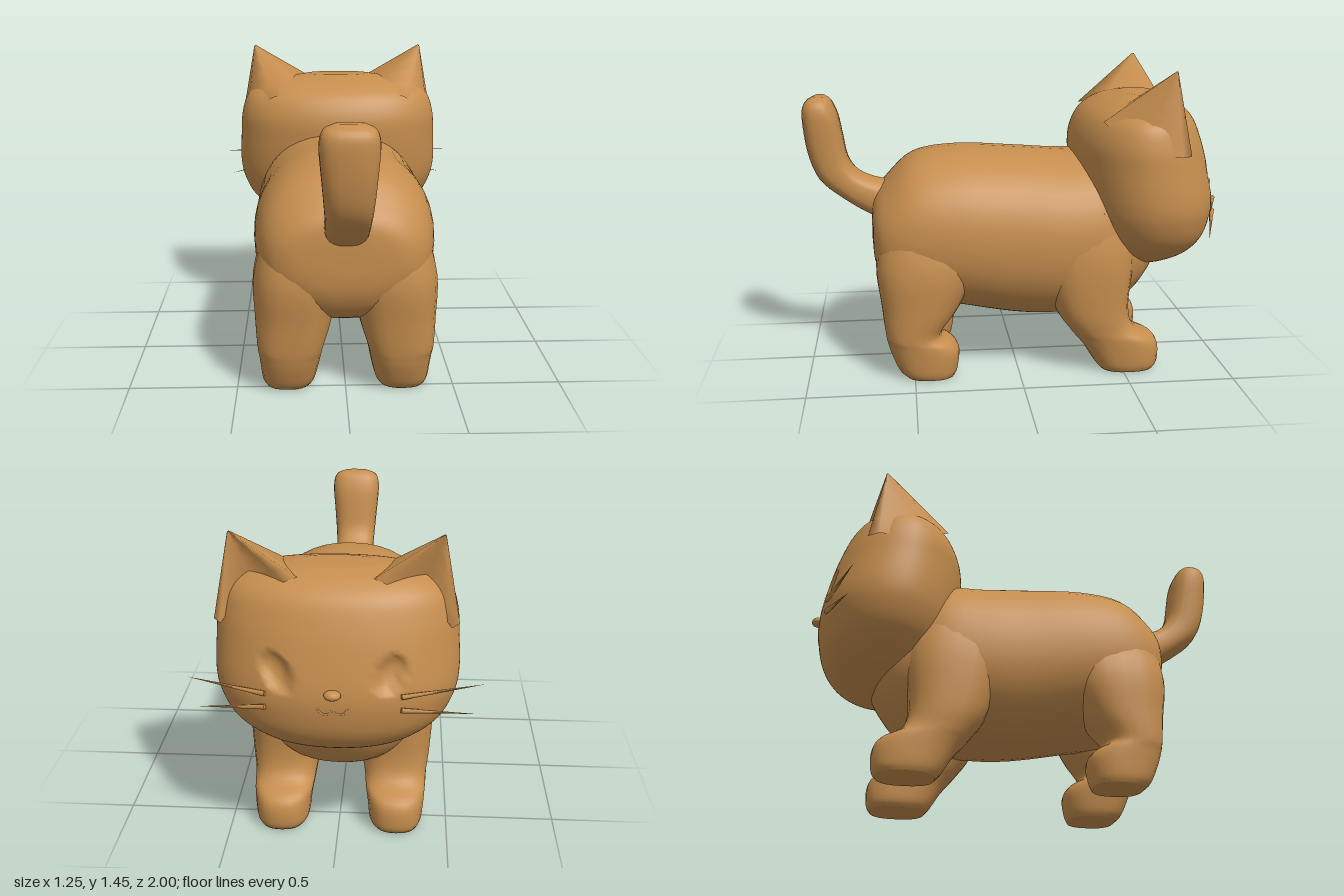
import * as THREE from 'three';

const fur = new THREE.MeshStandardMaterial({ color: 0xc68e4e });
fur.name = 'ginger fur';

// Smooth skin over oval sections [centreX, halfWidth, yA, zA, yB, zB]:
// each oval spans from point A to point B and is halfWidth wide to both sides.
function loft(sections, { sides = 32, steps = 4, power = 0.9 } = {}) {
  const curve = (f) => new THREE.CatmullRomCurve3(sections.map(f), false, 'catmullrom', 0.5);
  const ca = curve(([x, , y, z]) => new THREE.Vector3(x, y, z));
  const cb = curve(([, w, , , y, z]) => new THREE.Vector3(w, y, z));
  const bend = (v) => Math.sign(v) * Math.abs(v) ** power;
  const count = (sections.length - 1) * steps;
  const pos = [];
  const index = [];
  const ring = (t, size) => {
    const a = ca.getPoint(t), b = cb.getPoint(t);
    for (let j = 0; j < sides; j++) {
      const q = (j / sides) * Math.PI * 2;
      const s = bend(Math.sin(q)) * 0.5 * size;
      pos.push(
        a.x + Math.max(b.x, 0) * size * bend(Math.cos(q)),
        (a.y + b.y) / 2 + (b.y - a.y) * s,
        (a.z + b.z) / 2 + (b.z - a.z) * s);
    }
  };
  ring(0, 0);
  for (let i = 0; i <= count; i++) ring(i / count, 1);
  ring(1, 0);
  for (let i = 0; i < count + 2; i++) {
    for (let j = 0; j < sides; j++) {
      const k = (j + 1) % sides;
      const a = i * sides + j, b = i * sides + k, c = a + sides, d = b + sides;
      index.push(a, b, c, b, d, c);
    }
  }
  const geo = new THREE.BufferGeometry();
  geo.setAttribute('position', new THREE.Float32BufferAttribute(pos, 3));
  geo.setIndex(index);
  geo.computeVertexNormals();
  return geo;
}

// Leg sections rise from the sole: [y, back z, front z, inner x, outer x]
const leg = (rows, side) => loft(rows.map(([y, zb, zf, xi, xo]) =>
  [side * (xi + xo) / 2, (xo - xi) / 2, y, zb, y, zf]), { sides: 24, power: 0.8 });

const hindRows = [
  [0.005, 0.54, 0.31, 0.16, 0.37], [0.04, 0.575, 0.295, 0.14, 0.385],
  [0.12, 0.61, 0.285, 0.12, 0.395], [0.17, 0.625, 0.31, 0.11, 0.4],
  [0.22, 0.635, 0.37, 0.1, 0.405], [0.35, 0.65, 0.28, 0.06, 0.415],
  [0.55, 0.67, 0.2, 0.03, 0.42], [0.78, 0.62, 0.25, 0.06, 0.36]];
const frontRows = [
  [0.005, -0.4, -0.66, 0.16, 0.37], [0.04, -0.37, -0.68, 0.14, 0.385],
  [0.12, -0.32, -0.68, 0.13, 0.395], [0.17, -0.28, -0.65, 0.12, 0.4],
  [0.22, -0.24, -0.56, 0.11, 0.405], [0.33, -0.17, -0.53, 0.09, 0.42],
  [0.58, -0.1, -0.55, 0.06, 0.43], [0.8, -0.15, -0.5, 0.08, 0.39]];

function headGeometry() {
  // [y, back z, front z, half width]
  const rows = [
    [0.48, -0.62, -0.72, 0.08], [0.51, -0.5, -0.77, 0.22], [0.57, -0.42, -0.87, 0.35],
    [0.65, -0.36, -0.93, 0.45], [0.75, -0.32, -0.957, 0.505], [0.85, -0.3, -0.96, 0.525],
    [1.0, -0.285, -0.93, 0.52], [1.12, -0.29, -0.895, 0.51], [1.22, -0.34, -0.85, 0.47],
    [1.28, -0.43, -0.78, 0.36], [1.315, -0.54, -0.7, 0.16]];
  const geo = loft(rows.map(([y, zb, zf, w]) => [0, w, y, zb, y, zf]),
    { sides: 128, steps: 7, power: 0.92 });
  // Press two slanted almond eye sockets into the face
  const p = geo.attributes.position;
  for (let i = 0; i < p.count; i++) {
    if (p.getZ(i) > -0.7) continue;
    const dy = p.getY(i) - 0.93;
    const dx = Math.abs(p.getX(i)) - 0.23 - dy * 0.25;
    const d = (dx / 0.06) ** 2 + (dy / 0.08) ** 2;
    if (d < 1) p.setZ(i, p.getZ(i) + 0.04 * Math.sqrt(1 - d));
  }
  geo.computeVertexNormals();
  return geo;
}

// Ear: a rounded pyramid with a hollow front, shrinking towards its tip
function earGeometry(side) {
  const tip = new THREE.Vector3(0.445, 1.462, -0.69);
  const base = [[0.13, 1.27, -0.76], [0.2, 1.26, -0.775], [0.35, 1.22, -0.64],
    [0.48, 1.08, -0.76], [0.515, 1.08, -0.71], [0.48, 1.1, -0.52],
    [0.34, 1.22, -0.38], [0.18, 1.25, -0.48]].map((v) => new THREE.Vector3(...v));
  const n = base.length;
  const pos = [], index = [];
  for (const t of [0, 0.25, 0.5, 0.75, 0.93, 0.98, 0.985]) {
    for (const b of base) {
      const v = b.clone().lerp(tip, t === 0.985 ? 1 : t);
      if (t === 0.985) v.y -= 0.01;
      pos.push(v.x * side, v.y, v.z);
    }
  }
  for (let i = 0; i < 6; i++) {
    for (let j = 0; j < n; j++) {
      const k = (j + 1) % n;
      const a = i * n + j, b = i * n + k, c = a + n, d = b + n;
      if (side < 0) index.push(a, b, c, b, d, c);
      else index.push(a, c, b, b, c, d);
    }
  }
  const geo = new THREE.BufferGeometry();
  geo.setAttribute('position', new THREE.Float32BufferAttribute(pos, 3));
  // Base corners run the same way round as the winding expected below
  geo.setIndex(index);
  geo.computeVertexNormals();
  return geo;
}

// Thin tapering whisker from root to tip
function whiskerGeometry(root, tip) {
  const a = new THREE.Vector3(...root), b = new THREE.Vector3(...tip);
  const dir = b.clone().sub(a);
  const geo = new THREE.ConeGeometry(0.012, dir.length(), 6);
  const turn = new THREE.Quaternion().setFromUnitVectors(new THREE.Vector3(0, 1, 0), dir.normalize());
  geo.applyQuaternion(turn);
  const mid = a.add(b).multiplyScalar(0.5);
  return geo.translate(mid.x, mid.y, mid.z);
}

export function createModel() {
  const cat = new THREE.Group();
  cat.name = 'cat';
  const add = (name, geo) => {
    const mesh = new THREE.Mesh(geo, fur);
    mesh.name = name;
    cat.add(mesh);
    return mesh;
  };

  // Trunk from chest to rump: [z, bottom y, top y, half width]
  const trunk = [
    [-0.7, 0.5, 0.7, 0.1], [-0.65, 0.42, 0.8, 0.23], [-0.55, 0.31, 0.92, 0.33],
    [-0.4, 0.25, 1.03, 0.41], [-0.2, 0.23, 1.04, 0.425], [0, 0.24, 1.055, 0.42],
    [0.27, 0.29, 1.068, 0.42], [0.48, 0.33, 1.035, 0.4], [0.61, 0.4, 0.92, 0.35],
    [0.67, 0.5, 0.84, 0.26], [0.685, 0.6, 0.76, 0.12]];
  add('body', loft(trunk.map(([z, y0, y1, w]) => [0, w, y0, z, y1, z]), { sides: 40 }));

  add('tail', loft([
    [0, 0.1, 0.68, 0.55, 0.9, 0.53], [0, 0.1, 0.74, 0.69, 0.91, 0.64],
    [0, 0.1, 0.83, 0.83, 0.95, 0.74], [0, 0.105, 0.92, 0.93, 1.02, 0.79],
    [0, 0.115, 1.05, 0.98, 1.12, 0.81], [0, 0.125, 1.22, 1.0, 1.22, 0.83],
    [0, 0.11, 1.285, 0.985, 1.29, 0.86], [0, 0.06, 1.315, 0.94, 1.315, 0.89]],
    { sides: 24, power: 0.75 }));

  add('head', headGeometry());

  for (const side of [1, -1]) {
    const word = side > 0 ? 'left' : 'right';
    add(word + 'HindLeg', leg(hindRows, side));
    add(word + 'FrontLeg', leg(frontRows, side));
    add(word + 'Ear', earGeometry(side));
    add(word + 'UpperWhisker', whiskerGeometry([side * 0.28, 0.84, -0.925], [side * 0.625, 0.853, -0.81]));
    add(word + 'LowerWhisker', whiskerGeometry([side * 0.28, 0.78, -0.925], [side * 0.585, 0.722, -0.825]));
    // Half of the small curved mouth
    const mouth = add(word + 'Mouth', new THREE.TorusGeometry(0.03, 0.006, 6, 12, Math.PI));
    mouth.rotation.z = Math.PI;
    mouth.position.set(side * 0.03, 0.8, -0.957);
  }

  const nose = add('nose', new THREE.SphereGeometry(0.03, 16, 10));
  nose.scale.set(1.2, 0.7, 1);
  nose.position.set(0, 0.86, -0.968);
  return cat;
}
